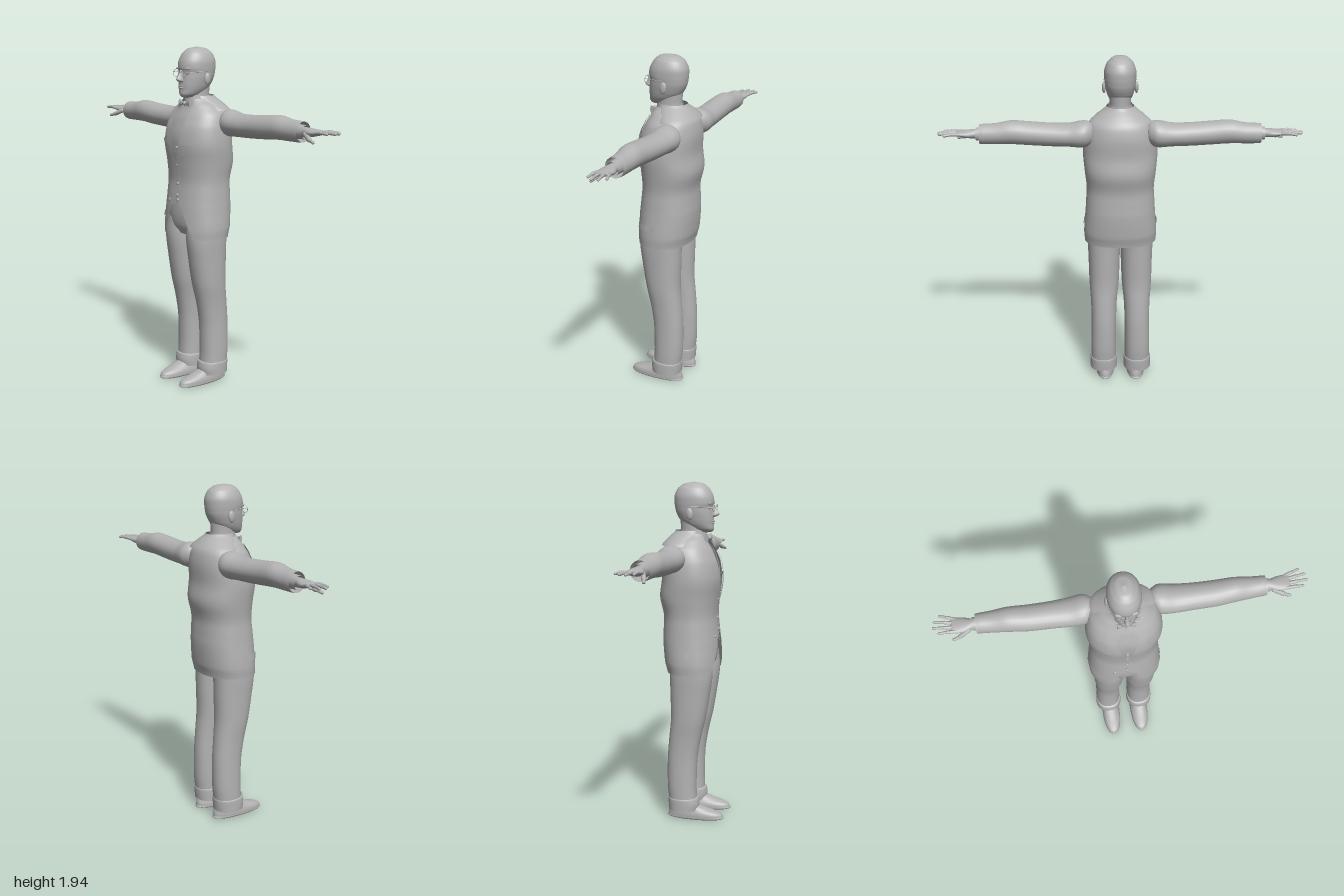
import * as THREE from 'three';

const grey = new THREE.MeshStandardMaterial({ color: 0xb2b2b2, side: THREE.DoubleSide });
grey.name = 'plainGrey';

// Ring = [y, centreX, halfWidth, zFront, zBack, halfGapAtFront]; smooth lookup by height
function ringAt(R, y) {
  let k = 0;
  while (k < R.length - 2 && y > R[k + 1][0]) k++;
  const u = (y - R[k][0]) / (R[k + 1][0] - R[k][0]);
  const g = (i, c) => R[Math.min(Math.max(i, 0), R.length - 1)][c] ?? 0;
  return [0, 1, 2, 3, 4, 5].map(c => {
    if (c === 0) return y;
    const p0 = g(k - 1, c), p1 = g(k, c), p2 = g(k + 1, c), p3 = g(k + 2, c);
    return p1 + 0.5 * u * (p2 - p0 + u * (2 * p0 - 5 * p1 + 4 * p2 - p3 + u * (3 * (p1 - p2) + p3 - p0)));
  });
}

// Point on a ring at angle a (0 = front, towards +x)
function onRing([y, cx, rx, zf, zb], a, pow = 1, off = 0) {
  const f = v => Math.sign(v) * Math.abs(v) ** pow;
  return [cx + (rx + off) * f(Math.sin(a)), y, (zf + zb) / 2 + ((zf - zb) / 2 + off) * f(Math.cos(a))];
}

function angleOf(x, rx, pow) {
  return Math.asin(Math.min(1, Math.max(0, x / rx)) ** (1 / pow));
}

function gridGeometry(rows, wrap) {
  const n = rows[0].length, idx = [];
  for (let j = 0; j < rows.length - 1; j++)
    for (let i = 0; i < (wrap ? n : n - 1); i++) {
      const a = j * n + i, b = j * n + (i + 1) % n;
      idx.push(a, b, a + n, b, b + n, a + n);
    }
  const geo = new THREE.BufferGeometry();
  geo.setAttribute('position', new THREE.Float32BufferAttribute(rows.flat(2), 3));
  geo.setIndex(idx);
  geo.computeVertexNormals();
  return geo;
}

// Smooth skin through rings; an open front when the rings carry a gap
function loft(R, { pow = 1, n = 32, steps = 5 } = {}) {
  const open = R.some(r => r[5] !== undefined), rows = [];
  for (let k = 0; k < R.length - 1; k++)
    for (let s = k ? 1 : 0; s <= steps; s++) {
      const r = ringAt(R, R[k][0] + (R[k + 1][0] - R[k][0]) * s / steps);
      const a0 = open ? angleOf(r[5], r[2], pow) : 0, row = [];
      for (let i = 0; i < (open ? n + 1 : n); i++) row.push(onRing(r, a0 + (2 * Math.PI - 2 * a0) * i / n, pow));
      rows.push(row);
    }
  return gridGeometry(rows, !open);
}

// Thin cloth patch over a loft; rows = [y, xInner, xOuter]
function patch(R, rowsIn, pow, off, steps = 4) {
  const rows = [];
  for (let k = 0; k < rowsIn.length - 1; k++)
    for (let s = k ? 1 : 0; s <= steps; s++) {
      const [y, x0, x1] = rowsIn[k].map((v, c) => v + (rowsIn[k + 1][c] - v) * s / steps);
      const r = ringAt(R, y), row = [];
      for (let i = 0; i <= 8; i++) row.push(onRing(r, angleOf(x0 + (x1 - x0) * i / 8, r[2], pow), pow, off));
      rows.push(row);
    }
  return gridGeometry(rows, false);
}

function rod(a, b, r) {
  const A = new THREE.Vector3(...a), B = new THREE.Vector3(...b), d = B.clone().sub(A);
  const geo = new THREE.CapsuleGeometry(r, d.length(), 4, 10);
  geo.applyQuaternion(new THREE.Quaternion().setFromUnitVectors(new THREE.Vector3(0, 1, 0), d.normalize()));
  return geo.translate(...A.add(B).multiplyScalar(0.5).toArray());
}

const blob = (x, y, z, sx, sy, sz) => new THREE.SphereGeometry(1, 16, 12).scale(sx, sy, sz).translate(x, y, z);

function mirrored(geo) {
  const m = geo.clone().scale(-1, 1, 1), ix = m.index;
  for (let i = 0; i < ix.count; i += 3) {
    const t = ix.getX(i);
    ix.setX(i, ix.getX(i + 1));
    ix.setX(i + 1, t);
  }
  m.computeVertexNormals();
  return m;
}

export function createModel() {
  const model = new THREE.Group();
  model.name = 'suitedMan';
  const add = (name, geo) => {
    const mesh = new THREE.Mesh(geo, grey);
    mesh.name = name;
    model.add(mesh);
  };
  const pair = (name, geo) => {
    add(name + 'Left', geo);
    add(name + 'Right', mirrored(geo));
  };

  // Jacket, open in a V at the neck and cut away below the last button
  const P = 0.88;
  const jacket = [
    [0.87, 0, 0.205, 0.155, -0.145, 0.13], [0.93, 0, 0.208, 0.157, -0.16, 0.1], [1.05, 0, 0.199, 0.151, -0.17, 0.045],
    [1.12, 0, 0.194, 0.143, -0.168, 0.008], [1.2, 0, 0.19, 0.136, -0.167, 0], [1.3, 0, 0.2, 0.144, -0.188, 0.002],
    [1.4, 0, 0.208, 0.155, -0.176, 0.03], [1.5, 0, 0.2, 0.143, -0.178, 0.055], [1.57, 0, 0.178, 0.112, -0.165, 0.062],
    [1.62, 0, 0.13, 0.085, -0.135, 0.06], [1.655, 0, 0.08, 0.07, -0.1, 0.05]];
  add('jacket', loft(jacket, { pow: P, n: 56 }));
  pair('lapel', patch(jacket, [[1.285, 0, 0.01], [1.4, 0.03, 0.11], [1.425, 0.036, 0.135], [1.437, 0.04, 0.075],
    [1.452, 0.043, 0.1], [1.53, 0.056, 0.1], [1.61, 0.06, 0.09]], P, 0.007));
  pair('pocketFlap', patch(jacket, [[0.965, 0.15, 0.207], [1.0, 0.15, 0.204]], P, 0.005));
  add('backCollar', loft([[1.59, 0, 0.172, 0.05, -0.178, 0.16], [1.63, 0, 0.125, 0.05, -0.145, 0.105],
    [1.67, 0, 0.075, 0.055, -0.105, 0.055]]));

  // Waistcoat and shirt sit just inside the jacket
  const inset = (d, gaps, from, to) => gaps.map(([y, g]) => {
    const r = ringAt(jacket, y);
    return [y, 0, r[2] - d, r[3] - d, r[4] + d, g];
  });
  add('waistcoat', loft(inset(0.01, [[1.04, 0.03], [1.08, 0.002], [1.2, 0], [1.3, 0], [1.36, 0.002], [1.45, 0.02],
    [1.54, 0.036], [1.62, 0.045]]), { pow: P }));
  add('shirt', loft(inset(0.018, [[1.25], [1.35], [1.45], [1.55], [1.62], [1.65]]).map(r => r.slice(0, 5)), { pow: P }));
  add('shirtCollar', loft([[1.61, 0, 0.075, 0.075, -0.085], [1.64, 0, 0.07, 0.072, -0.082], [1.675, 0, 0.066, 0.066, -0.08]]));
  for (const [x, y, off] of [[0, 1.385, -0.008], [0, 1.33, -0.008], [0, 1.285, 0.002], [0, 1.18, 0.002], [0, 1.115, 0], [0, 1.085, -0.008], [-0.07, 1.08, 0]]) {
    const r = ringAt(jacket, y), p = onRing(r, angleOf(Math.abs(x), r[2], P), P, off);
    add('button', blob(x, y, p[2], 0.009, 0.009, 0.006));
  }

  // Bow tie
  pair('bowTieWing', new THREE.ConeGeometry(0.022, 0.05, 12).scale(1, 1, 0.45).rotateZ(Math.PI / 2).translate(0.022, 1.63, 0.086));
  add('bowTieKnot', blob(0, 1.63, 0.09, 0.01, 0.012, 0.01));

  // Sleeves, laid along x
  const alongX = R => loft(R, { n: 24 }).rotateZ(-Math.PI / 2);
  pair('sleeve', alongX([[0.135, -1.53, 0.002, -0.08, -0.084], [0.155, -1.53, 0.055, -0.03, -0.135], [0.2, -1.525, 0.074, 0, -0.163],
    [0.28, -1.519, 0.065, 0.003, -0.156], [0.38, -1.52, 0.064, 0, -0.148], [0.5, -1.527, 0.065, 0, -0.143],
    [0.6, -1.534, 0.065, -0.008, -0.142], [0.68, -1.527, 0.058, -0.018, -0.137], [0.75, -1.525, 0.056, -0.024, -0.133],
    [0.77, -1.525, 0.054, -0.026, -0.131]]));
  pair('shirtCuff', alongX([[0.7, -1.525, 0.04, -0.04, -0.118], [0.79, -1.525, 0.036, -0.044, -0.114]]));

  // Hands
  pair('palm', alongX([[0.72, -1.525, 0.026, -0.052, -0.108], [0.79, -1.527, 0.025, -0.05, -0.108], [0.83, -1.527, 0.022, -0.038, -0.12],
    [0.87, -1.53, 0.016, -0.036, -0.124], [0.895, -1.532, 0.011, -0.04, -0.122], [0.905, -1.532, 0.002, -0.07, -0.09]]));
  for (const [z0, z1, tip] of [[-0.116, -0.143, 0.955], [-0.094, -0.113, 0.985], [-0.07, -0.079, 0.992], [-0.047, -0.046, 0.965]]) {
    pair('fingerBase', rod([0.88, 1.532, z0], [(0.88 + tip) / 2, 1.536, (z0 + z1) / 2], 0.0095));
    pair('fingerTip', rod([(0.88 + tip) / 2, 1.536, (z0 + z1) / 2], [tip, 1.533, z1], 0.0075));
  }
  pair('thumbBase', rod([0.81, 1.52, -0.05], [0.86, 1.498, -0.03], 0.013));
  pair('thumbTip', rod([0.86, 1.498, -0.03], [0.895, 1.488, -0.02], 0.009));

  // Trousers
  add('trouserHips', loft([[0.885, 0, 0.12, 0.1, -0.1], [0.93, 0, 0.178, 0.125, -0.12], [1.0, 0, 0.183, 0.132, -0.13],
    [1.1, 0, 0.178, 0.125, -0.14]], { pow: 0.9 }));
  pair('trouserLeg', loft([[0.09, 0.1, 0.074, 0.042, -0.12], [0.2, 0.1, 0.074, 0.038, -0.13], [0.36, 0.098, 0.073, 0.043, -0.13],
    [0.48, 0.097, 0.076, 0.062, -0.121], [0.6, 0.095, 0.086, 0.09, -0.11], [0.75, 0.094, 0.091, 0.115, -0.113],
    [0.87, 0.094, 0.094, 0.13, -0.116], [0.98, 0.09, 0.092, 0.122, -0.125]], { pow: 0.9 }));
  pair('trouserCuff', loft([[0.055, 0.1, 0.08, 0.052, -0.122], [0.09, 0.1, 0.08, 0.056, -0.125], [0.125, 0.1, 0.079, 0.05, -0.126],
    [0.13, 0.1, 0.073, 0.04, -0.12]], { pow: 0.9 }));

  // Shoes
  pair('shoe', loft([[0, 0.092, 0.003, 0.03, 0.025], [0.003, 0.092, 0.05, 0.185, -0.122], [0.02, 0.092, 0.056, 0.195, -0.13],
    [0.04, 0.093, 0.054, 0.178, -0.128], [0.06, 0.095, 0.048, 0.115, -0.122], [0.085, 0.098, 0.043, 0.045, -0.115],
    [0.12, 0.1, 0.04, 0.02, -0.11]], { pow: 0.9 }));

  // Neck and head
  add('neck', loft([[1.6, 0, 0.063, 0.058, -0.076], [1.67, 0, 0.058, 0.066, -0.074], [1.76, 0, 0.06, 0.06, -0.08]]));
  add('head', loft([[1.658, 0, 0.004, 0.075, 0.068], [1.664, 0, 0.03, 0.104, 0.01], [1.68, 0, 0.05, 0.114, -0.025],
    [1.705, 0, 0.065, 0.113, -0.055], [1.73, 0, 0.074, 0.114, -0.08], [1.77, 0, 0.083, 0.111, -0.1], [1.8, 0, 0.086, 0.108, -0.107],
    [1.825, 0, 0.088, 0.114, -0.11], [1.865, 0, 0.086, 0.108, -0.109], [1.905, 0, 0.07, 0.086, -0.09],
    [1.93, 0, 0.042, 0.055, -0.055], [1.94, 0, 0.003, 0.003, -0.003]], { pow: 0.93 }));
  add('nose', loft([[1.744, 0, 0.005, 0.115, 0.09], [1.752, 0, 0.017, 0.135, 0.09], [1.763, 0, 0.016, 0.146, 0.09],
    [1.785, 0, 0.01, 0.132, 0.09], [1.815, 0, 0.009, 0.118, 0.09]], { n: 16 }));
  add('upperLip', blob(0, 1.724, 0.112, 0.025, 0.005, 0.008));
  add('lowerLip', blob(0, 1.714, 0.11, 0.021, 0.006, 0.008));
  pair('eye', blob(0.034, 1.797, 0.092, 0.015, 0.009, 0.012));
  pair('eyebrow', blob(0.036, 1.822, 0.1, 0.024, 0.006, 0.011));
  pair('ear', blob(0.089, 1.785, -0.004, 0.011, 0.033, 0.02).rotateX(-0.1).translate(0, -0.01, 0.178));

  // Spectacles
  pair('spectacleRim', new THREE.TorusGeometry(0.024, 0.0015, 6, 24).scale(1, 0.8, 1).translate(0.036, 1.795, 0.122));
  pair('spectacleArm', rod([0.06, 1.802, 0.121], [0.092, 1.805, 0.0], 0.0015));
  add('spectacleBridge', rod([-0.012, 1.8, 0.124], [0.012, 1.8, 0.124], 0.0015));
  return model;
}
